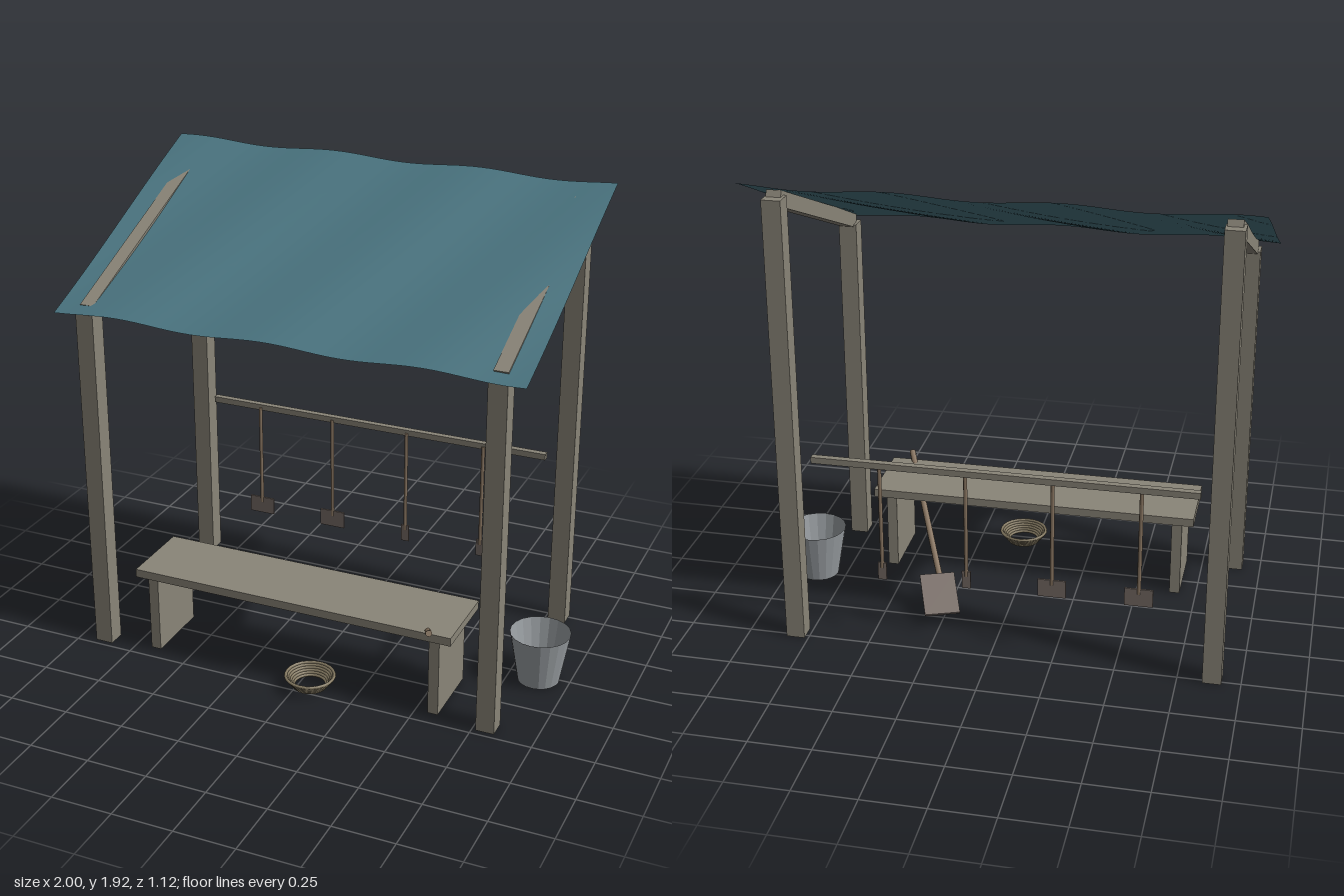
import * as THREE from 'three';

const mat = (color, extra = {}) => new THREE.MeshStandardMaterial({ color, ...extra });
const wood = mat(0x8a8578);
const rodWood = mat(0x85725e);
const blade = mat(0x756a64);
const metal = mat(0x9a9fa3, { flatShading: true, side: THREE.DoubleSide });
const wicker = mat(0x857a62);
const clothMat = mat(0x4a7480, { side: THREE.DoubleSide });

const V = (x, y, z) => new THREE.Vector3(x, y, z);

function add(parent, name, geometry, material, x = 0, y = 0, z = 0) {
  const mesh = new THREE.Mesh(geometry, material);
  mesh.name = name;
  mesh.position.set(x, y, z);
  parent.add(mesh);
  return mesh;
}

// Box given by its lower and upper limits on each axis
function box(parent, name, material, x0, x1, y0, y1, z0, z1) {
  return add(parent, name, new THREE.BoxGeometry(x1 - x0, y1 - y0, z1 - z0), material,
    (x0 + x1) / 2, (y0 + y1) / 2, (z0 + z1) / 2);
}

// Round rod between two points
function rod(parent, name, material, a, b, r) {
  const dir = b.clone().sub(a);
  const mesh = add(parent, name, new THREE.CylinderGeometry(r, r, dir.length(), 8), material);
  mesh.position.copy(a).add(b).multiplyScalar(0.5);
  mesh.quaternion.setFromUnitVectors(V(0, 1, 0), dir.normalize());
  return mesh;
}

function group(parent, name) {
  const g = new THREE.Group();
  g.name = name;
  parent.add(g);
  return g;
}

export function createModel() {
  const model = new THREE.Group();
  model.name = 'gardenShelter';

  // Posts and sloping rafters
  const frame = group(model, 'frame');
  const slope = 0.413;
  for (const x of [-0.887, 0.803]) {
    box(frame, 'frontPost', wood, x - 0.0375, x + 0.0375, 0, 1.46, 0.4, 0.475);
    box(frame, 'backPost', wood, x - 0.0375, x + 0.0375, 0, 1.85, -0.52, -0.445);
    const rafter = add(frame, 'rafter', new THREE.BoxGeometry(0.058, 0.06, 1.0), wood,
      x + 0.003, 1.6565, -0.018);
    rafter.rotation.x = Math.atan(slope);
  }

  // Rippled cloth roof
  const cloth = new THREE.PlaneGeometry(1.92, 1.07, 48, 24);
  cloth.rotateX(-Math.PI / 2).translate(-0.04, 0, -0.025);
  const p = cloth.attributes.position;
  for (let i = 0; i < p.count; i++) {
    const x = p.getX(i), z = p.getZ(i);
    const sag = 0.006 * Math.sin(Math.PI * (0.51 - z) / 1.07);
    p.setY(i, 1.683 - 0.4136 * z + 0.008 * Math.sin(10 * x + 4.19 * z + 0.43) - sag);
  }
  cloth.computeVertexNormals();
  add(model, 'clothRoof', cloth, clothMat);

  // Bench
  const bench = group(model, 'bench');
  box(bench, 'benchTop', wood, -0.73, 0.645, 0.33, 0.365, 0.13, 0.45);
  for (const x of [-0.66, 0.573])
    box(bench, 'benchLeg', wood, x - 0.0215, x + 0.0215, 0, 0.33, 0.145, 0.435);

  // Rail with hanging tools
  const rack = group(model, 'toolRack');
  box(rack, 'rail', wood, -0.805, 0.725, 0.758, 0.784, -0.447, -0.42);
  [0.113, 0.113, 0.035, 0.035].forEach((w, i) => {
    const x = -0.58 + 0.345 * i;
    rod(rack, 'toolHandle', rodWood, V(x, 0.31, -0.422), V(x, 0.77, -0.422), 0.008);
    box(rack, 'toolBlade', blade, x - w / 2, x + w / 2, 0.257, 0.332, -0.427, -0.419);
  });

  // Shovel leaning on the bench
  const shovel = group(model, 'shovel');
  rod(shovel, 'shovelHandle', rodWood, V(0.28, 0.078, -0.15), V(0.568, 0.387, 0.482), 0.013);
  const shovelBlade = add(shovel, 'shovelBlade', new THREE.BoxGeometry(0.144, 0.01, 0.206), blade,
    0.272, 0.095, -0.225);
  const along = V(0.033, 0.04, 0.0875).normalize();
  const across = V(0.0875, 0, -0.033).normalize();
  shovelBlade.setRotationFromMatrix(
    new THREE.Matrix4().makeBasis(across, along.clone().cross(across), along));

  // Open tapered bucket
  const bucket = group(model, 'bucket');
  bucket.position.set(0.873, 0, 0.02);
  add(bucket, 'bucketWall', new THREE.CylinderGeometry(0.123, 0.085, 0.217, 20, 1, true), metal, 0, 0.1085, 0);
  const base = add(bucket, 'bucketBase', new THREE.CircleGeometry(0.085, 20), metal, 0, 0.003, 0);
  base.rotation.x = -Math.PI / 2;

  // Bottomless basket of stacked rings
  const basket = group(model, 'basket');
  basket.position.set(0.055, 0, 0.455);
  for (let i = 0; i < 6; i++) {
    const ring = add(basket, 'basketRing', new THREE.TorusGeometry(0.066 + 0.0064 * i, 0.0065, 6, 24), wicker,
      0, 0.018 + 0.0082 * i, 0);
    ring.rotation.x = Math.PI / 2;
  }

  return model;
}
